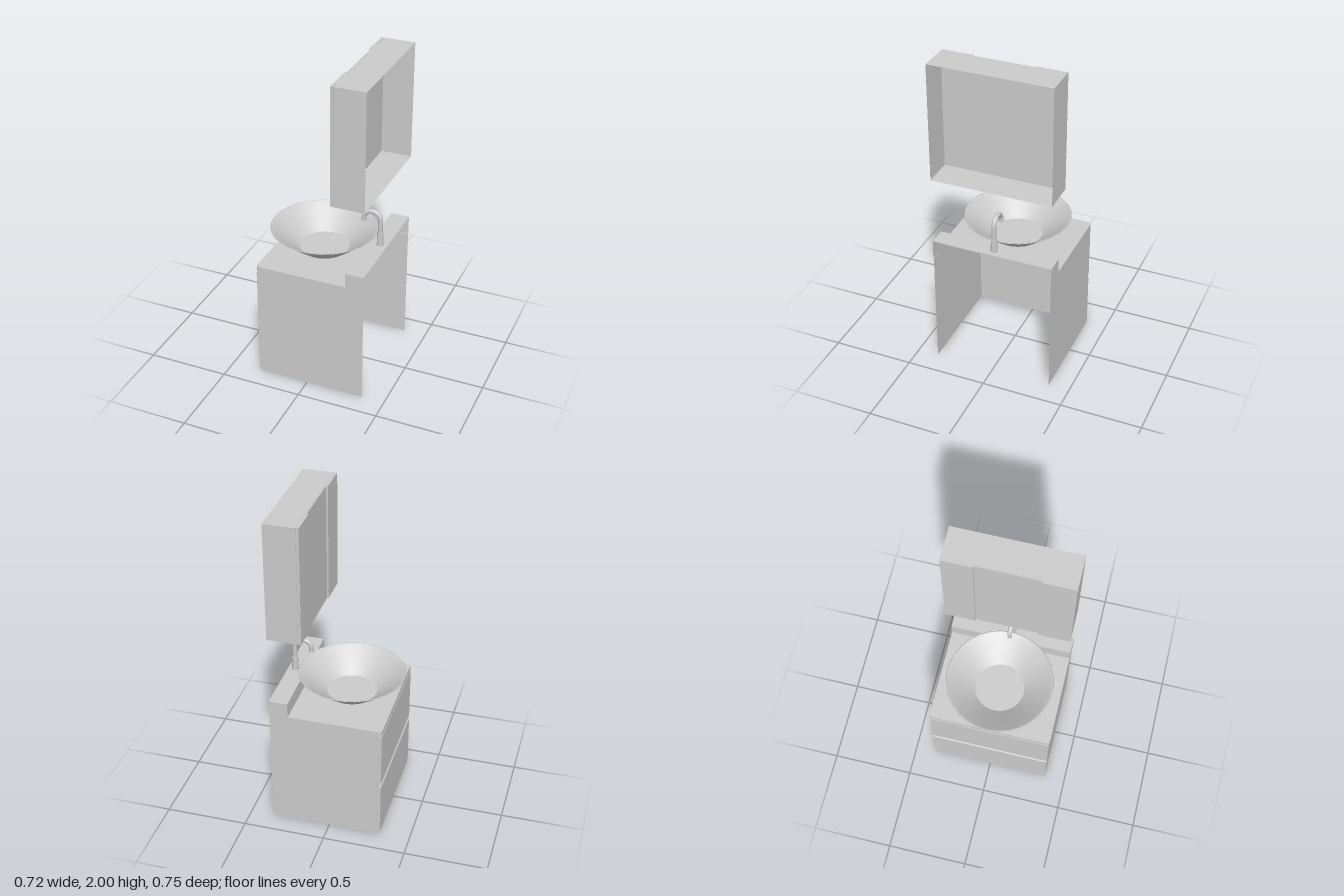
import * as THREE from 'three';

const solid = new THREE.MeshStandardMaterial({ color: 0xcccccc });
const sheet = new THREE.MeshStandardMaterial({ color: 0xcccccc, side: THREE.DoubleSide });

function add(parent, name, geometry, material = solid) {
  const mesh = new THREE.Mesh(geometry, material);
  mesh.name = name;
  parent.add(mesh);
  return mesh;
}

function group(parent, name) {
  const g = new THREE.Group();
  g.name = name;
  parent.add(g);
  return g;
}

// Thin panels facing each axis, given by their extents
function panelX(parent, name, x, y0, y1, z0, z1) {
  const m = add(parent, name, new THREE.PlaneGeometry(z1 - z0, y1 - y0).rotateY(-Math.PI / 2), sheet);
  m.position.set(x, (y0 + y1) / 2, (z0 + z1) / 2);
}
function panelY(parent, name, y, x0, x1, z0, z1) {
  const m = add(parent, name, new THREE.PlaneGeometry(x1 - x0, z1 - z0).rotateX(-Math.PI / 2), sheet);
  m.position.set((x0 + x1) / 2, y, (z0 + z1) / 2);
}
function panelZ(parent, name, z, x0, x1, y0, y1) {
  const geo = new THREE.PlaneGeometry(x1 - x0, y1 - y0);
  if (z < 0) geo.rotateY(Math.PI);
  add(parent, name, geo, sheet).position.set((x0 + x1) / 2, (y0 + y1) / 2, z);
}
function block(parent, name, x0, x1, y0, y1, z0, z1) {
  add(parent, name, new THREE.BoxGeometry(x1 - x0, y1 - y0, z1 - z0))
    .position.set((x0 + x1) / 2, (y0 + y1) / 2, (z0 + z1) / 2);
}

// Upright wall following a plan outline of [x, z] points
function wall(points, y0, y1) {
  const pos = [];
  for (let i = 0; i < points.length - 1; i++) {
    const [ax, az] = points[i], [bx, bz] = points[i + 1];
    pos.push(ax, y0, az, bx, y0, bz, bx, y1, bz, ax, y0, az, bx, y1, bz, ax, y1, az);
  }
  const geo = new THREE.BufferGeometry();
  geo.setAttribute('position', new THREE.Float32BufferAttribute(pos, 3));
  geo.computeVertexNormals();
  return geo;
}

export function createModel() {
  const model = new THREE.Group();
  model.name = 'washstand';
  const back = 0.36, half = 0.37;

  // Cabinet shell, open at the back and underneath
  const cabinet = group(model, 'cabinet');
  panelX(cabinet, 'cabinetFront', -0.3, 0.005, 0.735, -half, half);
  for (const s of [-1, 1]) panelZ(cabinet, 'cabinetSide', s * half, -0.3, back, 0.005, 0.735);

  // Two drawer fronts with chamfered long edges
  for (const [y0, y1] of [[0.012, 0.36], [0.376, 0.73]]) {
    const profile = new THREE.Shape([
      [-0.3, y0], [-0.3, y1], [-0.31, y1], [-0.318, y1 - 0.008], [-0.318, y0 + 0.008], [-0.31, y0],
    ].map(([x, y]) => new THREE.Vector2(x, y)));
    const geo = new THREE.ExtrudeGeometry(profile, { depth: 2 * half - 0.004, bevelEnabled: false });
    geo.translate(0, 0, -half + 0.002);
    add(cabinet, 'drawerFront', geo);
  }

  // Countertop sheet with a hanging lip and rounded front corners
  const counter = group(model, 'countertop');
  const w = 0.373, front = -0.319, r = 0.018, step = 0.247;
  const outline = [[step, -w]];
  for (const s of [-1, 1]) {
    for (let i = 0; i <= 4; i++) {
      const a = (s < 0 ? i : 4 - i) / 4 * Math.PI / 2;
      outline.push([front + r - r * Math.sin(a), s * (w - r + r * Math.cos(a))]);
    }
  }
  outline.push([step, w]);
  const plan = new THREE.Shape(outline.map(([x, z]) => new THREE.Vector2(x, -z)));
  add(counter, 'counterSurface', new THREE.ShapeGeometry(plan).rotateX(-Math.PI / 2), sheet)
    .position.y = 0.765;
  add(counter, 'counterLip', wall(outline, 0.735, 0.765), sheet);

  // Raised ledge along the back, hollow from behind
  panelX(counter, 'ledgeFront', step, 0.765, 0.857, -w, w);
  panelY(counter, 'ledgeTop', 0.857, step, back, -w, w);
  for (const s of [-1, 1]) panelZ(counter, 'ledgeEnd', s * w, step, back, 0.735, 0.857);

  // Vessel basin: outer wall, thin rim, inner wall and floor
  const bowl = [
    [0, 0.765], [0.15, 0.765], [0.19, 0.796], [0.235, 0.832], [0.28, 0.868], [0.319, 0.898],
    [0.323, 0.901], [0.319, 0.903], [0.312, 0.9], [0.275, 0.871], [0.23, 0.836], [0.185, 0.8],
    [0.15, 0.772], [0.15, 0.772], [0, 0.772],
  ].map(([x, y]) => new THREE.Vector2(x, y));
  add(model, 'basin', new THREE.LatheGeometry(bowl, 30, -Math.PI / 2), sheet).position.x = -0.041;

  // Faucet: collar and swan-neck spout
  const faucet = group(model, 'faucet');
  const px = 0.315, bend = 0.052, bendY = 1.02;
  add(faucet, 'faucetCollar', new THREE.CylinderGeometry(0.018, 0.02, 0.085, 20)).position.set(px, 0.899, 0);
  const path = new THREE.CurvePath();
  path.add(new THREE.LineCurve3(new THREE.Vector3(px, 0.93, 0), new THREE.Vector3(px, bendY, 0)));
  const arc = [];
  for (let i = 0; i <= 12; i++) {
    const a = i / 12 * Math.PI;
    arc.push(new THREE.Vector3(px - bend + bend * Math.cos(a), bendY + bend * Math.sin(a), 0));
  }
  path.add(new THREE.CatmullRomCurve3(arc));
  path.add(new THREE.LineCurve3(arc[12], new THREE.Vector3(px - 2 * bend, 1.002, 0)));
  add(faucet, 'spout', new THREE.TubeGeometry(path, 48, 0.014, 16), sheet);
  add(faucet, 'spoutOutlet', new THREE.CircleGeometry(0.014, 16).rotateX(Math.PI / 2))
    .position.set(px - 2 * bend, 1.002, 0);

  // Mirror cabinet, open at the back, with raised side doors
  const mirror = group(model, 'mirrorCabinet');
  const low = 1.275, high = 2, face = 0.172;
  panelX(mirror, 'mirrorBody', face, low, high, -half, half);
  panelY(mirror, 'mirrorTop', high, face, back, -half, half);
  panelY(mirror, 'mirrorBottom', low, face, back, -half, half);
  for (const s of [-1, 1]) panelZ(mirror, 'mirrorSide', s * half, face, back, low, high);
  block(mirror, 'mirrorCentreDoor', 0.164, 0.171, low, high, -0.19, 0.178);
  block(mirror, 'mirrorSideDoor', 0.154, 0.171, low, high, -half, -0.19);
  block(mirror, 'mirrorSideDoor', 0.154, 0.171, low, high, 0.178, half);

  return model;
}
